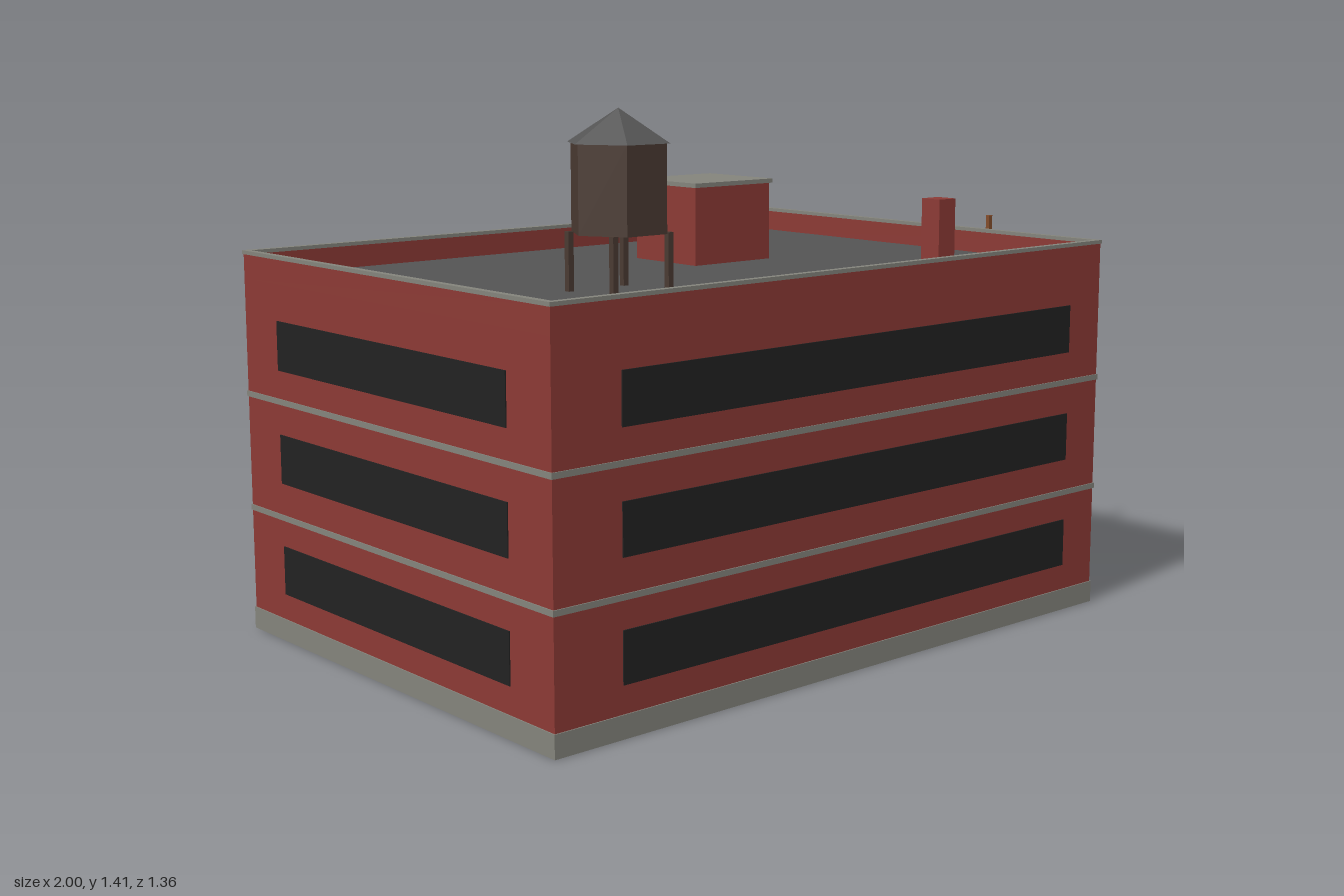
import * as THREE from 'three';

const paint = (name, color) => {
  const m = new THREE.MeshStandardMaterial({ color });
  m.name = name;
  return m;
};

export function createModel() {
  const brick = paint('red brick', 0x8b3a35);
  const stone = paint('grey stone', 0x83837b);
  const tar = paint('dark grey roofing', 0x545454);
  const glass = paint('dark glass', 0x222222);
  const wood = paint('dark wood', 0x4a3a32);
  const rust = paint('rusty iron', 0x824c2b);

  const building = new THREE.Group();
  building.name = 'building';

  const add = (name, geometry, material, parent = building) => {
    const mesh = new THREE.Mesh(geometry, material);
    mesh.name = name;
    parent.add(mesh);
    return mesh;
  };
  // Box given by its low and high limits on each axis
  const box = (name, material, [x0, x1], [y0, y1], [z0, z1], parent) => {
    const mesh = add(name, new THREE.BoxGeometry(x1 - x0, y1 - y0, z1 - z0), material, parent);
    mesh.position.set((x0 + x1) / 2, (y0 + y1) / 2, (z0 + z1) / 2);
    return mesh;
  };
  const group = (name) => {
    const g = new THREE.Group();
    g.name = name;
    building.add(g);
    return g;
  };

  // Wall faces, and how far the stone stands out from them
  const L = -0.997, R = 0.905, Z = 0.664, out = 0.003;
  const roofY = 0.96, topY = 1.03;

  // Walls, flat roof, plinth and floor bands
  box('walls', brick, [L, R], [0, roofY - 0.005], [-Z, Z]);
  box('roof', tar, [L + 0.012, R - 0.012], [roofY - 0.005, roofY], [-Z + 0.012, Z - 0.012]);
  const band = (name, y0, y1) =>
    box(name, stone, [L - out, R + out], [y0, y1], [-Z - out, Z + out]);
  band('plinth', 0.001, 0.06);
  band('lowerBand', 0.33, 0.345);
  band('upperBand', 0.64, 0.655);

  // Parapet and its coping, each a ring of four pieces
  const ring = (name, material, y, grow, t) => {
    const g = group(name);
    const a = L - grow, b = R + grow, c = Z + grow;
    box('frontPiece', material, [a, b], y, [c - t, c], g);
    box('backPiece', material, [a, b], y, [-c, -c + t], g);
    box('leftPiece', material, [b - t, b], y, [-c + t, c - t], g);
    box('rightPiece', material, [a, a + t], y, [-c + t, c - t], g);
  };
  ring('parapet', brick, [roofY - 0.005, 1.02], 0, 0.013);
  ring('coping', stone, [1.02, topY], out, 0.019);

  // Window strips on three floors
  const windows = group('windows');
  for (let floor = 0; floor < 3; floor++) {
    const y = [0.13 + floor * 0.3, 0.26 + floor * 0.3];
    box('frontWindow', glass, [-0.8, 0.778], y, [Z - 0.003, Z + out], windows);
    const spans = floor === 0 ? [[-0.8, -0.28], [0.27, 0.778]] : [[-0.8, 0.778]];
    for (const x of spans) box('backWindow', glass, x, y, [-Z - out, -Z + 0.003], windows);
    box('sideWindow', glass, [R - 0.003, R + out], y, [-0.5, 0.5], windows);
    box('sideWindow', glass, [L - out, L + 0.003], y, [-0.5, 0.5], windows);
  }

  // Back door with a small canopy
  box('door', tar, [-0.07, 0.065], [0.001, 0.24], [-Z - 0.007, -Z + 0.003]);
  box('doorCanopy', stone, [-0.085, 0.08], [0.24, 0.255], [-Z - 0.025, -Z + 0.003]);

  // Stairwell hut and chimney on the roof
  box('hut', brick, [0.053, 0.33], [roofY, 1.175], [-0.308, -0.057]);
  box('hutCap', stone, [0.046, 0.336], [1.175, 1.187], [-0.315, -0.05]);
  box('chimney', brick, [0.576, 0.641], [roofY, 1.14], [0.3, 0.365]);

  // Six-sided water tank on four legs
  const tank = group('waterTank');
  tank.position.set(-0.445, 0, 0.222);
  const hex = (name, rTop, rBottom, y0, y1, material) => {
    const g = new THREE.CylinderGeometry(rTop, rBottom, y1 - y0, 6).toNonIndexed();
    g.rotateY(Math.PI / 6);
    g.computeVertexNormals();
    add(name, g, material, tank).position.y = (y0 + y1) / 2;
  };
  hex('tankBody', 0.127, 0.127, 1.108, 1.33, wood);
  hex('tankRoof', 0, 0.136, 1.33, 1.415, tar);
  for (const x of [-0.088, 0.088])
    for (const z of [-0.088, 0.088])
      box('tankLeg', wood, [x - 0.008, x + 0.008], [roofY, 1.11], [z - 0.008, z + 0.008], tank);

  // Fire escape: two landings with rails, a stair panel and two ladders
  const escape = group('fireEscape');
  for (const y of [0.335, 0.645]) {
    box('landing', rust, [R, 1], [y, y + 0.008], [-0.242, 0.242], escape);
    box('rail', rust, [0.994, 1], [y + 0.008, y + 0.093], [-0.242, 0.242], escape);
  }
  box('stairPanel', rust, [0.938, 0.97], [0.343, 0.645], [-0.2, 0.2], escape);
  box('upperLadder', rust, [0.977, 0.991], [0.653, 1.06], [0.19, 0.202], escape);
  box('lowerLadder', rust, [0.977, 0.991], [0.157, 0.335], [-0.21, -0.198], escape);

  return building;
}
